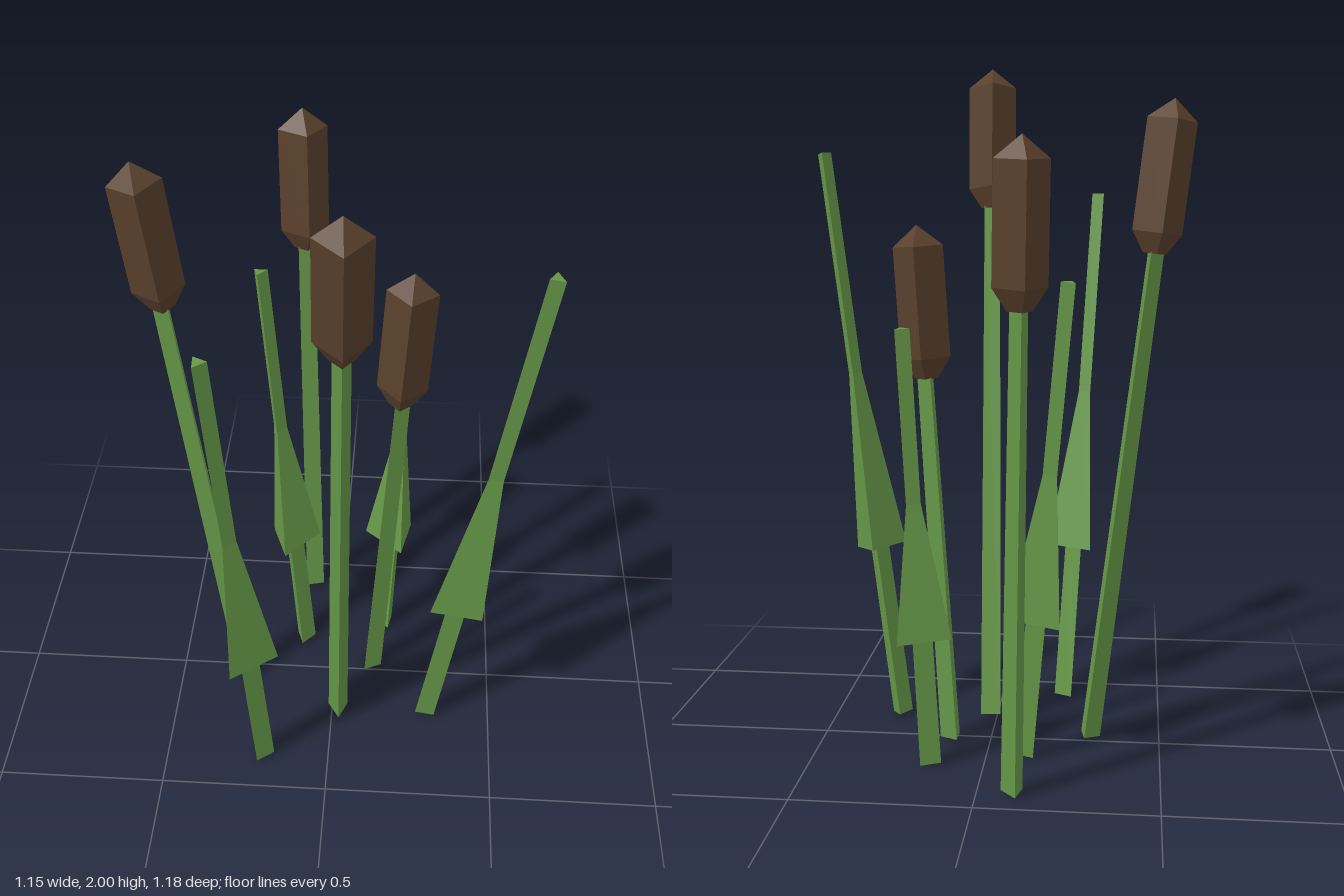
import * as THREE from 'three';

const green = new THREE.MeshStandardMaterial({ name: 'leaf green', color: 0x669848, flatShading: true });
const brown = new THREE.MeshStandardMaterial({ name: 'seed head brown', color: 0x5a402c, flatShading: true });

// Faceted solid of revolution from [radius, height] pairs, one corner facing +z
function spindle(name, profile, sides, material) {
  const points = profile.map(([r, y]) => new THREE.Vector2(r, y));
  const geometry = new THREE.LatheGeometry(points, sides).toNonIndexed();
  geometry.computeVertexNormals();
  const mesh = new THREE.Mesh(geometry, material);
  mesh.name = name;
  return mesh;
}

// Group standing at the base, its y axis aimed at the tip, its z axis in the direction of lean
function leaningGroup(name, base, tip) {
  const group = new THREE.Group();
  group.name = name;
  const up = tip.clone().sub(base).normalize();
  const lean = new THREE.Vector3(up.x, 0, up.z);
  lean.addScaledVector(up, -lean.dot(up)).normalize();
  const side = new THREE.Vector3().crossVectors(up, lean);
  group.quaternion.setFromRotationMatrix(new THREE.Matrix4().makeBasis(side, up, lean));
  group.position.copy(base);
  return group;
}

// Three-sided stem with a four-sided pointed seed head
function cattail(base, tip) {
  const L = base.distanceTo(tip), H = L - 0.44;
  const group = leaningGroup('cattail', base, tip);
  group.add(spindle('stem', [[0, 0], [0.035, 0], [0.028, H + 0.02], [0, H + 0.02]], 3, green));
  group.add(spindle('seedHead',
    [[0, H], [0.034, H], [0.073, H + 0.06], [0.073, L - 0.06], [0, L]], 4, brown));
  return group;
}

// Three-sided reed whose leaf flares out above the stem and narrows to a thin tip
function reed(base, tip) {
  const L = base.distanceTo(tip);
  const group = leaningGroup('reed', base, tip);
  group.add(spindle('leafBlade', [
    [0, 0], [0.035, 0], [0.033, 0.3 * L], [0.09, 0.3 * L],
    [0.024, 0.61 * L], [0.024, L], [0, L],
  ], 3, green));
  return group;
}

export function createModel() {
  const model = new THREE.Group();
  model.name = 'cattails';
  const v = (x, y, z) => new THREE.Vector3(x, y, z);

  // Cattails: base x, base z, tip x, tip y, tip z
  for (const [bx, bz, x, y, z] of [
    [-0.29, 0.03, -0.515, 1.88, 0.073],
    [0.02, 0.18, 0.05, 2.0, 0.53],
    [-0.10, -0.405, -0.13, 1.76, -0.52],
    [0.115, -0.022, 0.213, 1.525, -0.019],
  ]) model.add(cattail(v(bx, 0.005, bz), v(x, y, z)));

  // Reeds
  for (const [bx, bz, x, y, z] of [
    [0.155, -0.22, 0.214, 1.255, -0.288],
    [-0.203, 0.375, -0.292, 1.61, 0.548],
    [0.298, 0.166, 0.553, 1.735, 0.322],
    [-0.11, -0.13, -0.235, 1.38, -0.24],
  ]) model.add(reed(v(bx, 0.005, bz), v(x, y, z)));

  return model;
}
